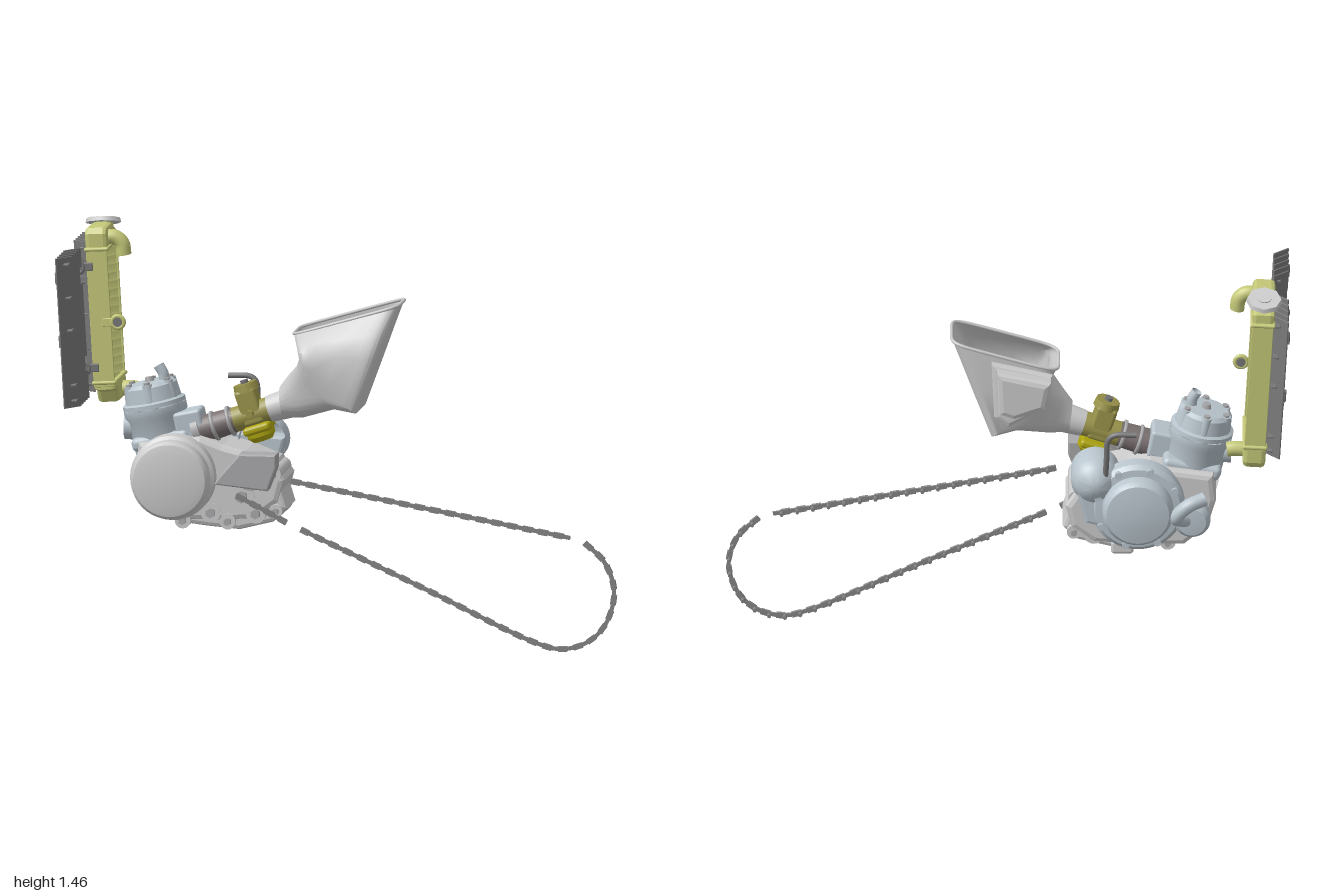
import * as THREE from 'three';
import { RoundedBoxGeometry } from 'three/addons/geometries/RoundedBoxGeometry.js';
import { toCreasedNormals } from 'three/addons/utils/BufferGeometryUtils.js';

const mat = (color) => new THREE.MeshStandardMaterial({ color, side: THREE.DoubleSide });
const grey = mat(0xcccccc), steel = mat(0xb9c5cd), olive = mat(0xc4c878), dark = mat(0x777777);
const brass = mat(0x9a944a), yellow = mat(0xb0a810), rubber = mat(0x7a7070), cyan = mat(0x18b4cf);
const chainGrey = mat(0x858585), alloy = mat(0xa9a9ab);
const V = (x, y, z) => new THREE.Vector3(x, y, z);

function add(parent, name, geo, material, x = 0, y = 0, z = 0) {
  const m = new THREE.Mesh(geo, material);
  m.name = name;
  m.position.set(x, y, z);
  parent.add(m);
  return m;
}
function group(parent, name, x = 0, y = 0, z = 0, rz = 0) {
  const g = new THREE.Group();
  g.name = name;
  g.position.set(x, y, z);
  g.rotation.z = rz;
  parent.add(g);
  return g;
}
const box = (p, name, m, w, h, d, x, y, z, r = 0.012) =>
  add(p, name, new RoundedBoxGeometry(w, h, d, 2, Math.min(r, w / 2.1, h / 2.1, d / 2.1)), m, x, y, z);
// Round bar between two points
function rod(p, name, m, a, b, r0, r1 = r0, seg = 24) {
  const A = V(...a), B = V(...b), dir = B.clone().sub(A);
  const mesh = add(p, name, new THREE.CylinderGeometry(r1, r0, dir.length(), seg), m);
  mesh.position.copy(A).lerp(B, 0.5);
  mesh.quaternion.setFromUnitVectors(V(0, 1, 0), dir.normalize());
  return mesh;
}
const pipe = (p, name, m, pts, r) =>
  add(p, name, new THREE.TubeGeometry(new THREE.CatmullRomCurve3(pts.map((q) => V(...q))), 28, r, 14), m);
// Turned part; side = 1 or -1 lays its axis along z
function turned(p, name, m, pts, x, y, z, side = 0, seg = 40) {
  const g = new THREE.LatheGeometry(pts.map((q) => new THREE.Vector2(...q)), seg);
  if (side) g.rotateX(side * Math.PI / 2);
  return add(p, name, toCreasedNormals(g, 0.6), m, x, y, z);
}
// Outline in x and y given thickness from z0 to z1
function plate(p, name, m, pts, z0, z1, bevel = 0.012) {
  const g = new THREE.ExtrudeGeometry(new THREE.Shape(pts.map((q) => new THREE.Vector2(...q))),
    { depth: z1 - z0 - 2 * bevel, bevelSize: bevel, bevelThickness: bevel, bevelOffset: -bevel, bevelSegments: 2 });
  return add(p, name, g, m, 0, 0, z0 + bevel);
}

function radiator(root) {
  const g = group(root, 'radiator', -0.88, 1.11, 0, 0.06);
  for (let i = 0; i < 11; i++) box(g, 'coreTube', olive, 0.06, 0.49, 0.005, 0, 0.005, -0.062 - i * 0.0215, 0.002);
  for (const z of [-0.049, -0.285]) box(g, 'sidePlate', olive, 0.075, 0.49, 0.008, 0, 0.005, z, 0.002);
  box(g, 'topFlange', olive, 0.088, 0.014, 0.258, 0, 0.25, -0.169);
  box(g, 'bottomFlange', olive, 0.088, 0.014, 0.258, 0, -0.225, -0.169);
  // Tanks outlined across z, thick along x
  for (const [name, pts] of [
    ['topTank', [[0.05, 0.25], [0.285, 0.25], [0.285, 0.288], [0.19, 0.325], [0.065, 0.325], [0.05, 0.305]]],
    ['bottomTank', [[0.05, -0.22], [0.05, -0.25], [0.11, -0.265], [0.13, -0.305], [0.28, -0.305], [0.29, -0.285], [0.29, -0.22]]]]) {
    const tank = plate(g, name, olive, pts, -0.04, 0.04, 0.015);
    tank.rotation.y = Math.PI / 2;
    tank.position.set(-0.025, 0, 0);
  }
  rod(g, 'fillerNeck', olive, [0, 0.29, -0.228], [0, 0.325, -0.236], 0.035);
  const cap = add(g, 'fillerCap', new THREE.CylinderGeometry(0.06, 0.064, 0.016, 8), grey, 0, 0.325, -0.235);
  cap.rotation.x = -0.28;
  rod(cap, 'capButton', grey, [0, 0, 0], [0, 0.012, 0], 0.025);
  pipe(g, 'topOutlet', olive, [[0.02, 0.285, -0.1], [0.06, 0.285, -0.1], [0.085, 0.262, -0.1], [0.09, 0.22, -0.1]], 0.026);
  pipe(g, 'bottomOutlet', olive, [[0.02, -0.27, -0.21], [0.07, -0.27, -0.21], [0.095, -0.275, -0.21]], 0.027);
  // Mounting eyelets
  for (const [x, y, z, m] of [[0.062, -0.01, -0.045, olive], [-0.07, 0.19, -0.045, dark], [-0.07, -0.17, -0.045, dark]]) {
    box(g, 'mountTab', m, 0.05, 0.03, 0.008, x - Math.sign(x) * 0.03, y, z, 0.003);
    add(g, 'mountEyelet', new THREE.TorusGeometry(0.021, 0.008, 10, 24), m, x, y, z);
    add(g, 'mountBush', new THREE.CylinderGeometry(0.016, 0.016, 0.02, 16), dark, x, y, z).rotation.x = Math.PI / 2;
  }
  // Slatted guards, one each side, notched on the inner edge
  for (const s of [1, -1]) {
    const p = group(root, s > 0 ? 'leftGuard' : 'rightGuard', -0.943, 1.112, 0, 0.06);
    for (let i = 0; i < 5; i++) {
      const spans = i ? [[-0.265, 0.27]] : [[-0.265, -0.165], [-0.115, 0.145], [0.2, 0.27]];
      for (const [a, b] of spans)
        box(p, 'slat', dark, 0.074, b - a, 0.006, 0, (a + b) / 2, s * (0.094 + i * 0.046), 0.002).rotation.y = s * Math.PI / 4;
    }
    for (const y of [-0.24, -0.185, 0.01, 0.125, 0.245]) box(p, 'crossRib', dark, 0.02, 0.008, 0.222, 0.01, y, s * 0.187, 0.002);
    for (const y of [0.195, -0.03]) box(p, 'clip', dark, 0.02, 0.045, 0.02, -0.025, y, s * 0.275, 0.005);
  }
}

function engine(root) {
  const g = group(root, 'engine');
  plate(g, 'crankcase', grey, [[-0.73, 0.6], [-0.7, 0.5], [-0.62, 0.43], [-0.42, 0.43], [-0.3, 0.44], [-0.22, 0.5],
    [-0.2, 0.58], [-0.24, 0.64], [-0.34, 0.68], [-0.42, 0.7], [-0.5, 0.73], [-0.72, 0.7]], -0.135, 0.12, 0.02);
  plate(g, 'lowerCase', grey, [[-0.6, 0.5], [-0.56, 0.42], [-0.48, 0.41], [-0.36, 0.4], [-0.24, 0.43], [-0.19, 0.48],
    [-0.22, 0.58], [-0.5, 0.6]], -0.09, 0.11, 0.015);
  box(g, 'drainFoot', grey, 0.08, 0.05, 0.06, -0.4, 0.42, -0.105);
  // Ignition cover on the left
  turned(g, 'ignitionHousing', grey, [[0.15, 0], [0.15, 0.07], [0.138, 0.078]], -0.59, 0.588, 0.1, 1);
  turned(g, 'ignitionCover', grey, [[0.138, 0], [0.138, 0.065], [0.128, 0.078], [0.1, 0.084], [0, 0.085]], -0.59, 0.588, 0.165, 1);
  plate(g, 'sprocketCover', alloy, [[-0.43, 0.58], [-0.41, 0.61], [-0.34, 0.69], [-0.21, 0.69], [-0.21, 0.64], [-0.24, 0.56]], 0.165, 0.245, 0.006);
  rod(g, 'sprocketShaft', alloy, [-0.31, 0.6, 0.1], [-0.31, 0.6, 0.18], 0.05);
  // Clutch side on the right
  turned(g, 'clutchHousing', steel, [[0.165, 0], [0.165, 0.05], [0.15, 0.065], [0.1, 0.07]], -0.455, 0.6, -0.125, -1);
  turned(g, 'clutchCover', steel, [[0.126, 0], [0.123, 0.045], [0.11, 0.062], [0.06, 0.07], [0, 0.072]], -0.455, 0.6, -0.185, -1);
  for (let i = 0; i < 8; i++) {
    const a = i * Math.PI / 4 + 0.3, x = -0.455 + 0.147 * Math.cos(a), y = 0.6 + 0.147 * Math.sin(a);
    rod(g, 'coverBolt', steel, [x, y, -0.13], [x, y, -0.2], 0.013, 0.013, 10);
  }
  turned(g, 'kickHousing', steel, [[0.085, 0], [0.085, 0.1], [0.068, 0.135], [0.03, 0.16], [0, 0.165]], -0.305, 0.69, -0.05, -1);
  plate(g, 'gearHousing', steel, [[-0.44, 0.72], [-0.42, 0.5], [-0.27, 0.54], [-0.23, 0.7]], -0.185, -0.1);
  turned(g, 'pumpHousing', steel, [[0.065, 0], [0.065, 0.05], [0.05, 0.07], [0, 0.075]], -0.645, 0.55, -0.13, -1);
  pipe(g, 'pumpElbow', steel, [[-0.63, 0.55, -0.18], [-0.59, 0.58, -0.225], [-0.63, 0.63, -0.235], [-0.69, 0.65, -0.215]], 0.025);
  pipe(g, 'kickLever', dark, [[-0.34, 0.7, -0.18], [-0.345, 0.8, -0.2], [-0.35, 0.875, -0.21], [-0.37, 0.895, -0.212], [-0.45, 0.897, -0.212]], 0.01);
  // Lugs and bolts around the lower rear case
  for (const [x, y, r] of [[-0.46, 0.46, 0.035], [-0.4, 0.43, 0.028], [-0.3, 0.46, 0.035], [-0.23, 0.47, 0.025], [-0.35, 0.52, 0.045], [-0.56, 0.43, 0.028], [-0.24, 0.6, 0.03]]) {
    rod(g, 'lug', grey, [x, y, -0.11], [x, y, 0.125], r);
    rod(g, 'lugBolt', alloy, [x, y, -0.12], [x, y, 0.14], r * 0.5, r * 0.5, 6);
  }
  // Leaning cylinder and head
  const c = group(g, 'cylinder', -0.645, 0.66, 0, 0.21);
  box(c, 'cylinderBase', steel, 0.21, 0.05, 0.2, 0.01, 0.045, 0, 0.02);
  turned(c, 'barrel', steel, [[0.1, 0], [0.104, 0.12], [0.112, 0.135], [0.112, 0.16]], 0, 0, 0);
  turned(c, 'head', steel, [[0.112, 0.163], [0.112, 0.178], [0.1, 0.184], [0.094, 0.235], [0.08, 0.247], [0, 0.25]], 0, 0, 0);
  for (let i = 0; i < 6; i++) {
    const a = i * Math.PI / 3 + 0.5, x = 0.08 * Math.cos(a), z = 0.08 * Math.sin(a);
    rod(c, 'headPillar', steel, [x, 0.15, z], [x, 0.247, z], 0.024, 0.018);
    rod(c, 'headBolt', alloy, [x, 0.24, z], [x, 0.255, z], 0.012, 0.012, 6);
  }
  rod(c, 'sparkPlug', alloy, [0, 0.245, 0], [0, 0.265, 0], 0.02, 0.015, 6);
  pipe(c, 'headSpigot', steel, [[0.05, 0.22, 0.01], [0.055, 0.27, 0.01], [0.045, 0.3, 0.01]], 0.019);
  rod(c, 'exhaustPort', steel, [-0.07, 0.1, 0], [-0.118, 0.11, 0], 0.048);
  box(c, 'intakePort', steel, 0.1, 0.1, 0.12, 0.12, 0.08, 0.03);
}

function carburettor(root) {
  // Local x follows the intake axis
  const g = group(root, 'carburettor', -0.33, 0.8, 0.045, 0.32);
  rod(g, 'intakeFlange', alloy, [-0.21, 0, 0], [-0.185, 0, 0], 0.06);
  rod(g, 'intakeRubber', rubber, [-0.19, 0, 0], [-0.06, 0, 0], 0.05, 0.045);
  for (const x of [-0.135, -0.075]) add(g, 'clamp', new THREE.TorusGeometry(0.048, 0.007, 8, 28), alloy, x).rotation.y = Math.PI / 2;
  rod(g, 'throat', brass, [-0.065, 0, 0], [0.075, 0, 0], 0.044);
  box(g, 'slideBody', brass, 0.075, 0.13, 0.085, 0.01, 0.03, 0);
  rod(g, 'slideCap', brass, [0.015, 0.085, 0], [0.015, 0.113, 0], 0.047, 0.043, 12);
  rod(g, 'cableGuide', dark, [0.015, 0.11, 0], [0.015, 0.125, 0], 0.014);
  rod(g, 'idleScrew', brass, [0.01, 0.01, 0.03], [0.01, 0.01, 0.075], 0.012);
  box(g, 'bowlFlange', yellow, 0.1, 0.03, 0.14, 0.015, -0.05, 0);
  turned(g, 'floatBowl', yellow, [[0, -0.1], [0.035, -0.098], [0.05, -0.08], [0.052, -0.045]], 0.015, 0, 0);
  rod(g, 'airRubber', grey, [0.07, 0, 0], [0.16, 0.0, 0], 0.047, 0.055);
}

function airBox(root) {
  const g = group(root, 'airBox');
  // Cross-sections: front edge, rear edge, z range, squareness
  const secs = [[-0.225, 0.905, -0.21, 0.795, -0.015, 0.105, 2], [-0.195, 0.945, -0.14, 0.797, -0.03, 0.12, 2.5],
    [-0.16, 0.985, -0.02, 0.835, -0.085, 0.16, 4], [-0.142, 1.02, 0.062, 0.83, -0.108, 0.185, 9],
    [-0.148, 1.045, 0.132, 1.02, -0.11, 0.182, 9], [-0.16, 1.068, 0.167, 1.115, -0.112, 0.152, 7],
    [-0.176, 1.095, 0.2, 1.205, -0.112, 0.095, 6]];
  const N = 64, pos = [], idx = [];
  const pw = (v, e) => Math.sign(v) * Math.abs(v) ** (2 / e);
  secs.forEach(([ax, ay, bx, by, z0, z1, e], j) => {
    for (let i = 0; i < N; i++) {
      const a = i / N * 2 * Math.PI, c = pw(Math.cos(a), e) / 2, s = pw(Math.sin(a), e) / 2;
      pos.push((ax + bx) / 2 + (bx - ax) * c, (ay + by) / 2 + (by - ay) * c, (z0 + z1) / 2 + (z1 - z0) * s);
      const p = j * N + i, q = j * N + (i + 1) % N;
      if (j < secs.length - 1) idx.push(p, p + N, q, q, p + N, q + N);
    }
  });
  const geo = new THREE.BufferGeometry();
  geo.setAttribute('position', new THREE.Float32BufferAttribute(pos, 3));
  geo.setIndex(idx);
  add(g, 'shell', toCreasedNormals(geo, 0.7), grey);
  const rim = [];
  for (let i = (secs.length - 1) * N; i < secs.length * N; i++) rim.push(V(pos[3 * i], pos[3 * i + 1], pos[3 * i + 2]));
  add(g, 'rim', new THREE.TubeGeometry(new THREE.CatmullRomCurve3(rim, true), 128, 0.006, 8, true), grey);
  // Bulge on the right side, stepped down towards the wall
  plate(g, 'sideBulge', grey, [[-0.15, 1.085], [0.04, 1.125], [0.035, 0.965], [-0.02, 0.945], [-0.13, 0.985]], -0.2, -0.1, 0.02);
  plate(g, 'bulgeBase', grey, [[-0.155, 1.09], [0.06, 1.14], [0.05, 0.93], [0, 0.89], [-0.13, 0.96]], -0.15, -0.1, 0.02);
  const f = add(g, 'filter', new THREE.SphereGeometry(1, 32, 20), cyan, -0.035, 0.965, -0.015);
  f.scale.set(0.105, 0.08, 0.078);
  f.rotation.z = 0.4;
}

function chain(root) {
  const g = group(root, 'chain');
  const runs = [
    [[-0.165, 0.587], [0.3, 0.504], [0.825, 0.41]],
    [[0.88, 0.392], [0.95, 0.325], [0.984, 0.22], [0.95, 0.1], [0.88, 0.035], [0.79, 0.013], [0.7, 0.035], [0.3, 0.22], [-0.13, 0.415]],
    [[-0.36, 0.53], [-0.27, 0.485], [-0.185, 0.44]]];
  for (const pts of runs) {
    const curve = new THREE.CatmullRomCurve3(pts.map(([x, y]) => V(x, y, 0.17)));
    const path = curve.getSpacedPoints(Math.round(curve.getLength() / 0.028));
    for (let i = 0; i < path.length - 1; i++) {
      const a = path[i], b = path[i + 1], m = a.clone().lerp(b, 0.5);
      const link = add(g, 'link', new THREE.BoxGeometry(0.033, i % 2 ? 0.014 : 0.02, i % 2 ? 0.008 : 0.012), chainGrey, m.x, m.y, 0.17);
      link.rotation.z = Math.atan2(b.y - a.y, b.x - a.x);
      if (i % 2) rod(g, 'pin', chainGrey, [a.x, a.y, 0.145], [a.x, a.y, 0.177], 0.007, 0.007, 8);
    }
  }
}

export function createModel() {
  const root = new THREE.Group();
  root.name = 'engineAssembly';
  radiator(root);
  engine(root);
  carburettor(root);
  airBox(root);
  chain(root);
  return root;
}
